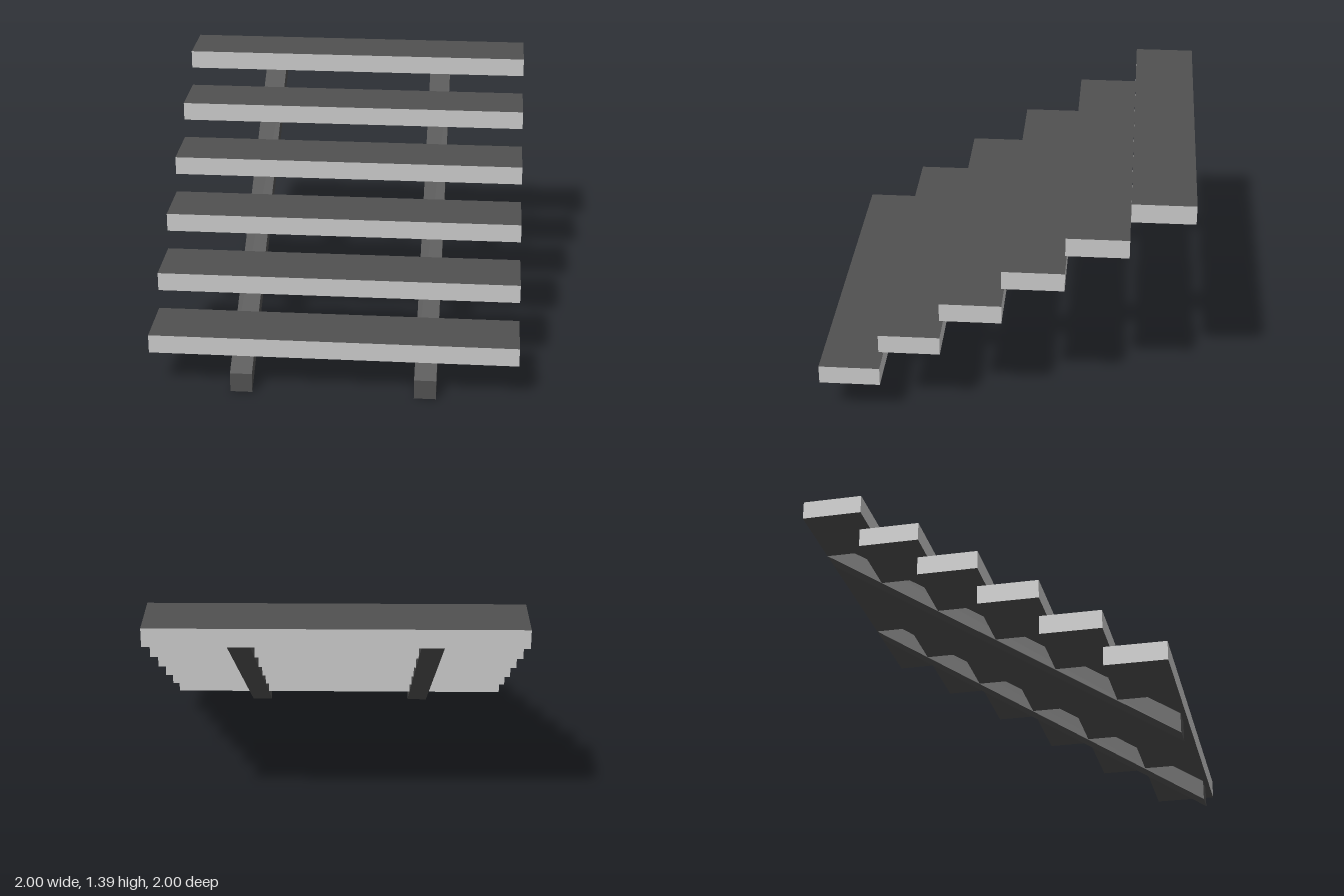
import * as THREE from 'three';

const STEPS = 6, DEPTH = 2 / STEPS, THICK = 0.104, FIRST = 0.219, RISE = 0.2137;

export function createModel() {
  const group = new THREE.Group();
  group.name = 'openStaircase';

  const darkGrey = new THREE.MeshStandardMaterial({ color: 0x505050 });
  darkGrey.name = 'dark grey';
  const lightGrey = new THREE.MeshStandardMaterial({ color: 0xc8c8c8 });
  lightGrey.name = 'light grey';

  // Treads: light edges, dark top and underside
  const treadGeometry = new THREE.BoxGeometry(2, THICK, DEPTH);
  const treadMaterials = [lightGrey, lightGrey, darkGrey, darkGrey, lightGrey, lightGrey];
  for (let i = 0; i < STEPS; i++) {
    const tread = new THREE.Mesh(treadGeometry, treadMaterials);
    tread.name = `tread${i + 1}`;
    tread.position.set(0, FIRST + THICK / 2 + i * RISE, 1 - DEPTH * (i + 0.5));
    group.add(tread);
  }

  // Stringers: sloping beams cut plumb at the foot and level under the top tread
  const top = FIRST + (STEPS - 1) * RISE;
  const profile = new THREE.Shape([
    new THREE.Vector2(1, 0),
    new THREE.Vector2(1, 0.11),
    new THREE.Vector2(-0.837, top),
    new THREE.Vector2(-1, top),
  ]);
  const stringerGeometry = new THREE.ExtrudeGeometry(profile, { depth: 0.12, bevelEnabled: false });
  stringerGeometry.translate(0, 0, -0.06).rotateY(-Math.PI / 2);
  for (const [name, x] of [['leftStringer', 0.5], ['rightStringer', -0.5]]) {
    const stringer = new THREE.Mesh(stringerGeometry, darkGrey);
    stringer.name = name;
    stringer.position.x = x;
    group.add(stringer);
  }

  return group;
}
